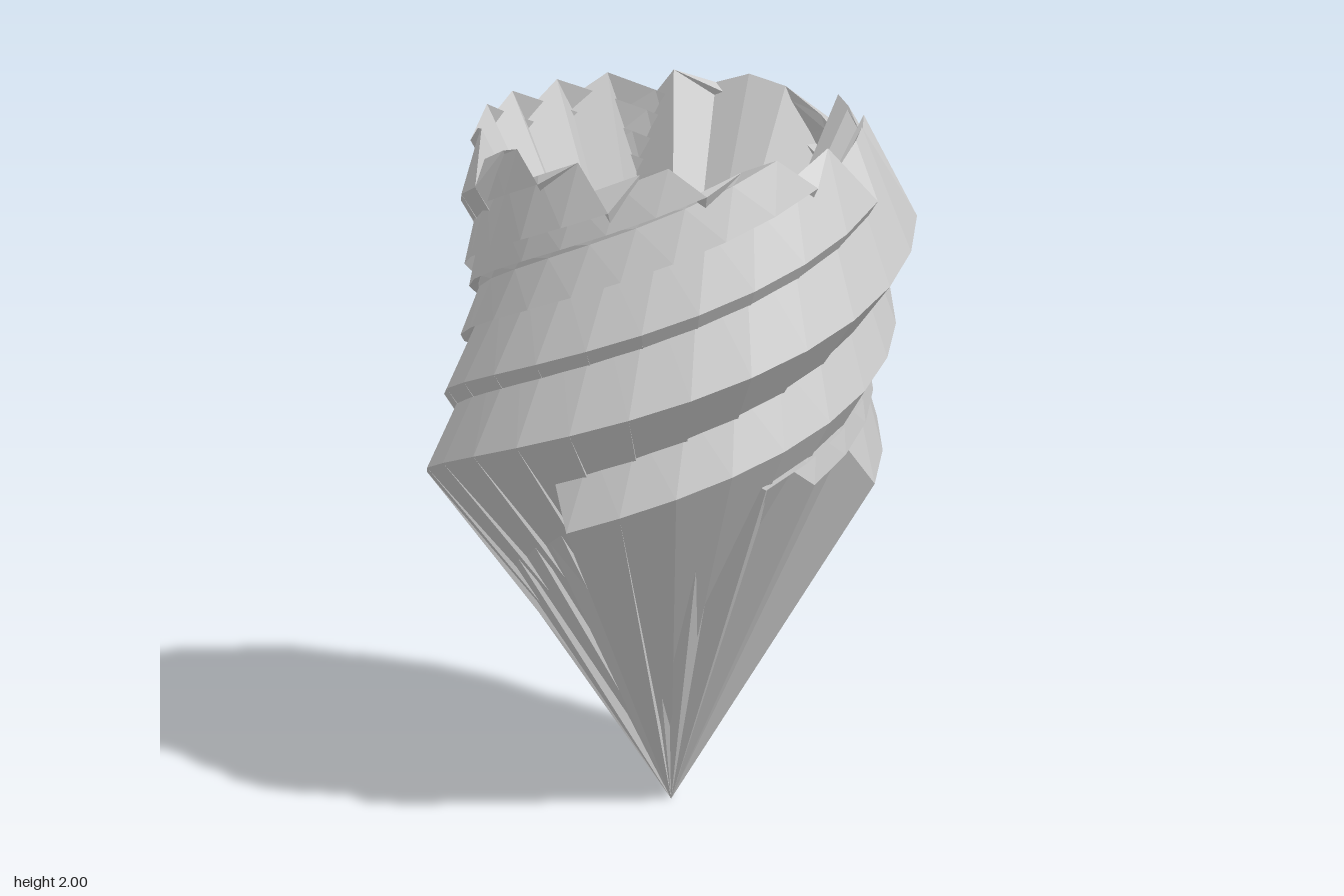
import * as THREE from 'three';

const SWEEP = 218, RISE = 0.89, STEPS = 15;
const APEX = new THREE.Vector3(-0.01, 0, -0.03);

// Teeth of the jagged cone rim: angle in degrees (from -x through +z), radius, height
const TEETH = [
  [11.6, 0.7, 0.82], [26, 0.617, 0.95], [51, 0.638, 0.98], [87, 0.575, 1.07],
  [110, 0.64, 0.93], [130, 0.575, 1.04], [147, 0.572, 1.02], [166, 0.572, 1.04],
  [183, 0.575, 1.03], [212, 0.602, 0.97], [238, 0.57, 1.03], [262, 0.588, 0.98],
  [290, 0.575, 1.03], [324, 0.6, 1.02], [345, 0.648, 0.94],
];

// Full rim: every tooth is preceded by a peak, wide gaps get a second one
function makeRim() {
  const rim = [];
  TEETH.forEach(([a, r, y], i) => {
    const next = i + 1 < TEETH.length ? TEETH[i + 1][0] : TEETH[0][0] + 360;
    rim.push([a - 11, 0.55, 1.11], [a, r, y]);
    if (next - a > 24) rim.push([a + (next - a - 11) / 2, 0.55, 1.09]);
  });
  return rim;
}

// A rim point carried along the helix around the axis of the tip, t from 0 to 1
function helixPoint([a, r, y], t) {
  const angle = THREE.MathUtils.degToRad(a + SWEEP * t);
  return apexAt(t).add(new THREE.Vector3(-r * Math.cos(angle), y, r * Math.sin(angle)));
}

function apexAt(t) {
  return new THREE.Vector3(APEX.x, RISE * t, APEX.z);
}

function meshFrom(name, points) {
  const geometry = new THREE.BufferGeometry().setFromPoints(points);
  geometry.computeVertexNormals();
  const material = new THREE.MeshStandardMaterial({
    color: 0xcccccc, flatShading: true, side: THREE.DoubleSide,
  });
  const mesh = new THREE.Mesh(geometry, material);
  mesh.name = name;
  return mesh;
}

export function createModel() {
  const group = new THREE.Group();
  group.name = 'spiralCone';
  const rim = makeRim();
  const tip = [], funnel = [], thread = [], undersides = [];

  rim.forEach((p, i) => {
    const q = rim[(i + 1) % rim.length];
    // Pointed cone at the bottom and the open funnel at the top
    tip.push(apexAt(0), helixPoint(q, 0), helixPoint(p, 0));
    funnel.push(apexAt(1), helixPoint(p, 1), helixPoint(q, 1));

    for (let j = 0; j < STEPS; j++) {
      const t0 = j / STEPS, t1 = (j + 1) / STEPS;
      const a = helixPoint(p, t0), b = helixPoint(q, t0);
      const c = helixPoint(q, t1), d = helixPoint(p, t1);
      // Threaded outer wall, split along the short diagonal
      thread.push(a, b, d, b, c, d);
      // Undersides of the overhanging ridges, reaching in to the axis
      if (p[1] > 0.6) undersides.push(apexAt(t0), d, a, apexAt(t0), apexAt(t1), d);
    }
  });

  group.add(
    meshFrom('tipCone', tip),
    meshFrom('spiralThread', thread),
    meshFrom('ridgeUndersides', undersides),
    meshFrom('innerFunnel', funnel),
  );
  return group;
}
